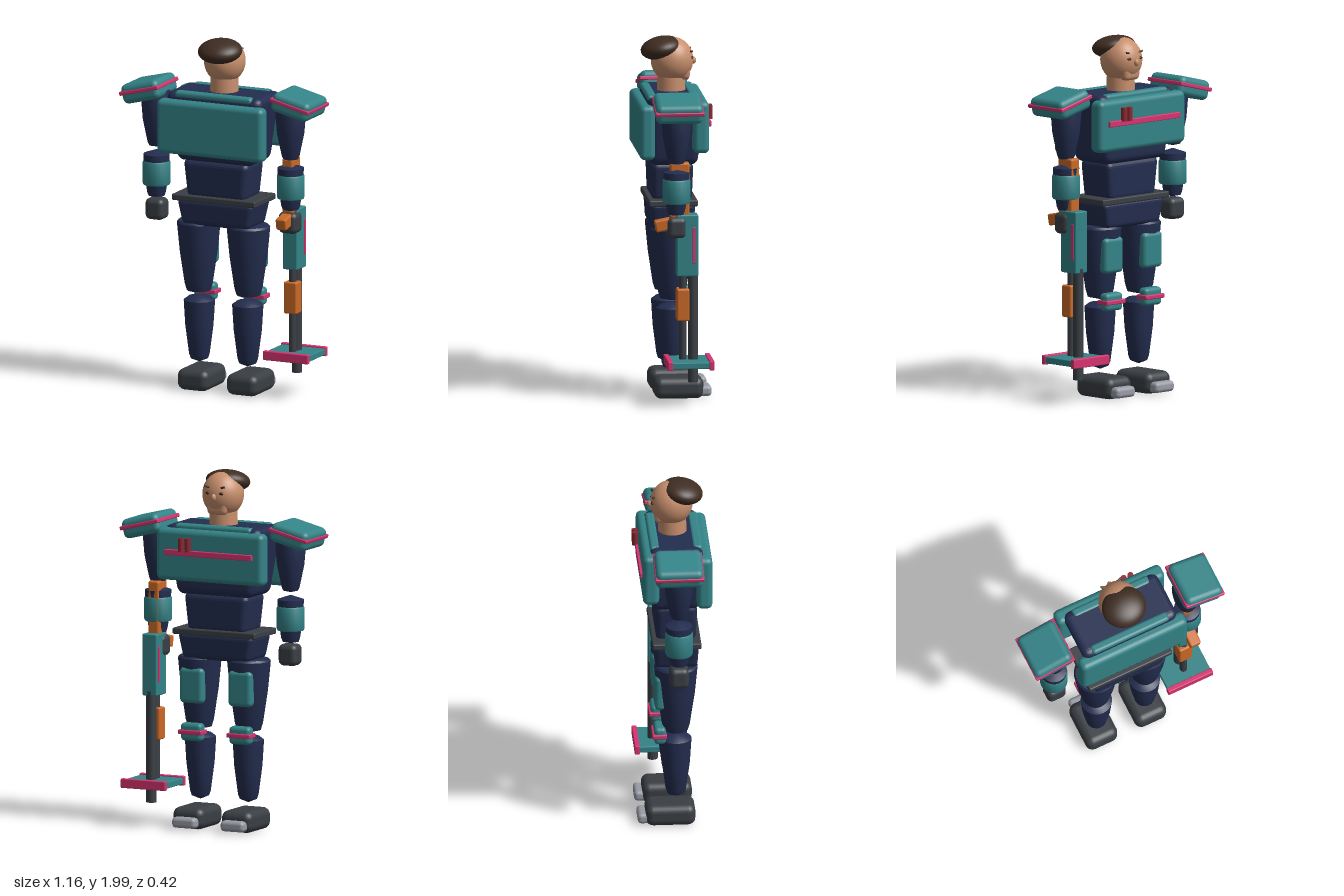
import * as THREE from 'three';
import { toCreasedNormals } from 'three/addons/utils/BufferGeometryUtils.js';
import { RoundedBoxGeometry } from 'three/addons/geometries/RoundedBoxGeometry.js';

const mat = (name, color) => Object.assign(new THREE.MeshStandardMaterial({ color }), { name });

export function createModel() {
  const navy = mat('navy suit', 0x232d4f);
  const teal = mat('teal armour', 0x348488);
  const pink = mat('magenta trim', 0xd6336f);
  const orange = mat('orange grip', 0xcb6a27);
  const dark = mat('dark grey', 0x3a3f44);
  const silver = mat('silver', 0x9a9ca6);
  const skin = mat('skin', 0xc88f6d);
  const hair = mat('brown hair', 0x3f2d22);
  const red = mat('dark red', 0x8c2731);

  const model = new THREE.Group();
  model.name = 'armouredFigure';

  function add(name, geo, material, pos = [0, 0, 0], parent = model) {
    const m = new THREE.Mesh(geo, material);
    m.name = name;
    m.position.set(...pos);
    parent.add(m);
    return m;
  }
  // Rounded box; the bottom may be narrowed by a factor
  function box(name, material, size, pos, radius = 0.02, taper = 1, parent = model) {
    const [w, h, d] = size;
    const geo = new RoundedBoxGeometry(w, h, d, 3, Math.min(radius, w / 2.01, h / 2.01, d / 2.01));
    if (taper !== 1) {
      const p = geo.attributes.position;
      for (let i = 0; i < p.count; i++) {
        const t = (p.getY(i) + h / 2) / h, k = taper + (1 - taper) * t;
        p.setX(i, p.getX(i) * k);
        p.setZ(i, p.getZ(i) * (0.5 + k / 2));
      }
      geo.computeVertexNormals();
    }
    return add(name, geo, material, pos, parent);
  }
  // Tapered limb with shallow cone ends: profile of [radius, y]
  function limb(name, material, profile, x, z, parent) {
    const pts = profile.map(([r, y]) => new THREE.Vector2(r, y));
    const geo = toCreasedNormals(new THREE.LatheGeometry(pts, 24), 0.6);
    return add(name, geo, material, [x, 0, z], parent);
  }
  function ellipsoid(name, material, radii, pos, parent = model) {
    const geo = new THREE.SphereGeometry(1, 32, 20).scale(...radii);
    return add(name, geo, material, pos, parent);
  }

  // Torso
  box('chest', navy, [0.59, 0.39, 0.3], [0, 1.505, 0.01], 0.045, 0.78);
  box('waist', navy, [0.4, 0.22, 0.235], [0, 1.21, 0.015], 0.035, 0.88);
  box('belt', dark, [0.51, 0.035, 0.27], [0, 1.102, 0.015], 0.008);
  box('hips', navy, [0.47, 0.15, 0.25], [0, 1.022, 0.015], 0.03, 0.86);

  // Torso armour
  box('backPlate', teal, [0.65, 0.305, 0.085], [0, 1.507, 0.165], 0.03);
  box('chestPlate', teal, [0.66, 0.29, 0.09], [0, 1.535, -0.132], 0.03);
  box('chestStripe', pink, [0.54, 0.032, 0.02], [0, 1.55, -0.182], 0.004);
  for (const z of [0.13, -0.105]) box('collarStrip', teal, [0.47, 0.04, 0.055], [0, 1.685, z], 0.018);
  for (const x of [0.122, 0.163]) {
    add('chestTube', new THREE.CylinderGeometry(0.017, 0.017, 0.075, 16), red, [x, 1.597, -0.192]);
  }

  // Head
  const head = new THREE.Group();
  head.name = 'head';
  model.add(head);
  add('neck', new THREE.CylinderGeometry(0.076, 0.08, 0.12, 24), skin, [0, 1.73, 0.005], head);
  ellipsoid('skull', skin, [0.115, 0.125, 0.118], [0, 1.868, 0], head);
  box('jaw', skin, [0.13, 0.075, 0.1], [0, 1.797, -0.048], 0.025, 0.85, head);
  ellipsoid('nose', skin, [0.014, 0.02, 0.016], [0, 1.862, -0.118], head);
  ellipsoid('hairCap', hair, [0.125, 0.062, 0.115], [0, 1.934, 0.06], head).rotation.x = 0.2;
  for (const s of [-1, 1]) {
    ellipsoid('eye', hair, [0.014, 0.008, 0.008], [s * 0.042, 1.884, -0.107], head);
    const brow = box('eyebrow', hair, [0.04, 0.01, 0.012], [s * 0.045, 1.917, -0.1], 0.004, 1, head);
    brow.rotation.set(0.35, s * 0.4, s * 0.12);
  }

  for (const s of [-1, 1]) {
    const side = s > 0 ? 'left' : 'right';
    // Arm
    const arm = new THREE.Group();
    arm.name = side + 'Arm';
    model.add(arm);
    limb('upperArm', navy, [[0, 1.345], [0.042, 1.355], [0.05, 1.375], [0.076, 1.5], [0.085, 1.61], [0.075, 1.67], [0, 1.69]], s * 0.41, 0.015, arm);
    limb('forearm', navy, [[0, 1.06], [0.045, 1.07], [0.052, 1.09], [0.07, 1.2], [0.073, 1.305], [0, 1.33]], s * 0.41, 0.015, arm);
    limb('bracer', teal, [[0.06, 1.13], [0.073, 1.133], [0.077, 1.142], [0.077, 1.258], [0.073, 1.267], [0.06, 1.27]], s * 0.41, 0.015, arm);
    box('hand', dark, [0.112, 0.12, 0.105], [s * 0.407, 0.997, 0.015], 0.03, 1, arm);

    // Shoulder pad, sloping down outwards
    const pad = new THREE.Group();
    pad.name = side + 'ShoulderPad';
    pad.position.set(s * 0.458, 1.67, 0.01);
    pad.rotation.z = -s * 0.245;
    model.add(pad);
    box('padShell', teal, [0.232, 0.11, 0.262], [0, 0, 0], 0.032, 1, pad);
    box('padTrim', pink, [0.243, 0.022, 0.272], [0, 0.01, 0], 0.006, 1, pad);

    // Leg
    const leg = new THREE.Group();
    leg.name = side + 'Leg';
    model.add(leg);
    limb('thigh', navy, [[0, 0.545], [0.066, 0.56], [0.078, 0.6], [0.105, 0.78], [0.121, 0.945], [0.112, 0.957], [0, 0.96]], s * 0.152, 0.015, leg);
    limb('shin', navy, [[0, 0.155], [0.048, 0.175], [0.057, 0.2], [0.078, 0.36], [0.087, 0.505], [0.06, 0.525], [0, 0.535]], s * 0.148, 0.015, leg);
    box('thighPlate', teal, [0.145, 0.2, 0.06], [s * 0.15, 0.8, -0.076], 0.025, 1, leg);
    box('kneePad', teal, [0.13, 0.1, 0.065], [s * 0.15, 0.54, -0.075], 0.022, 1, leg);
    box('kneeStripe', pink, [0.145, 0.025, 0.08], [s * 0.15, 0.54, -0.078], 0.006, 1, leg);
    box('boot', dark, [0.19, 0.12, 0.275], [s * 0.15, 0.064, -0.018], 0.042, 1, leg);
    box('toeCap', silver, [0.145, 0.06, 0.08], [s * 0.15, 0.045, -0.16], 0.022, 1, leg);
  }

  // Long tool held upright, muzzle down
  const tool = new THREE.Group();
  tool.name = 'heldTool';
  tool.position.x = 0.405;
  model.add(tool);
  add('mainBarrel', new THREE.CylinderGeometry(0.029, 0.029, 0.62, 20), dark, [0, 0.44, -0.077], tool);
  add('secondBarrel', new THREE.CylinderGeometry(0.021, 0.021, 0.53, 20), dark, [0, 0.485, -0.02], tool);
  box('receiver', teal, [0.09, 0.345, 0.12], [0, 0.898, -0.043], 0.008, 1, tool);
  for (const s of [-1, 1]) box('receiverStripe', pink, [0.008, 0.2, 0.016], [s * 0.046, 0.9, -0.078], 0.002, 1, tool);
  box('foreGrip', orange, [0.08, 0.18, 0.072], [0, 0.565, -0.02], 0.01, 1, tool);
  box('stock', orange, [0.066, 0.31, 0.108], [0, 1.205, -0.002], 0.012, 1, tool);
  box('pistolGrip', orange, [0.064, 0.065, 0.13], [0, 1.015, 0.07], 0.01, 1, tool).rotation.x = 0.2;
  box('guardPlate', teal, [0.265, 0.036, 0.22], [0, 0.24, -0.055], 0.005, 1, tool);
  for (const z of [0.06, -0.17]) box('guardEdge', pink, [0.275, 0.052, 0.028], [0, 0.24, z], 0.005, 1, tool);

  return model;
}
